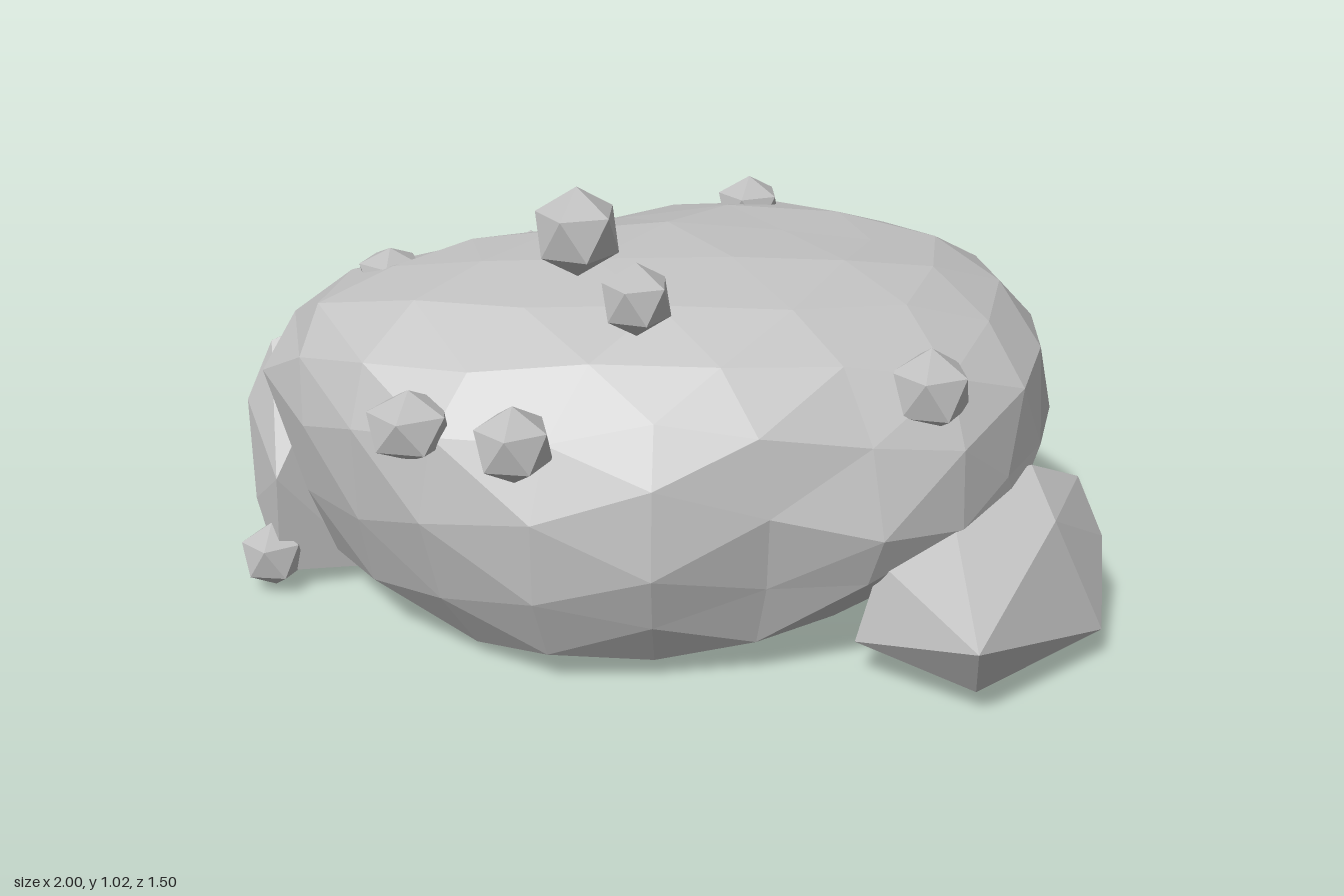
import * as THREE from 'three';
import { ConvexGeometry } from 'three/addons/geometries/ConvexGeometry.js';

// Widest outline of the main rock: x, z, height of the widest point, depth below it
const RIM = [
  [-0.11, -0.58, 0.45, 0.5], [0.02, -0.585, 0.47, 0.5], [0.37, -0.52, 0.47, 0.5],
  [0.73, -0.34, 0.46, 0.5], [0.88, -0.15, 0.44, 0.48], [0.88, 0.06, 0.43, 0.43],
  [0.8, 0.3, 0.42, 0.4], [0.6, 0.5, 0.38, 0.37], [0.44, 0.57, 0.34, 0.4],
  [0.23, 0.63, 0.31, 0.48], [-0.1, 0.67, 0.31, 0.5], [-0.4, 0.62, 0.34, 0.55],
  [-0.72, 0.41, 0.45, 0.7], [-0.9, 0.2, 0.58, 0.9], [-0.85, -0.02, 0.55, 0.85],
  [-0.65, -0.2, 0.48, 0.65], [-0.4, -0.39, 0.46, 0.55],
];
const GROUND = 0.04;

// Outline sample in the direction (dx, dz): [x, z, widest height, depth]
function rimAt(dx, dz) {
  for (let i = 0; i < RIM.length; i++) {
    const a = RIM[i], b = RIM[(i + 1) % RIM.length];
    const ca = dx * a[1] - dz * a[0], cb = dx * b[1] - dz * b[0];
    if (ca * cb <= 0 && dx * a[0] + dz * a[1] > 0 && ca !== cb) {
      const t = ca / (ca - cb);
      return a.map((v, k) => v + (b[k] - v) * t);
    }
  }
  return RIM[0];
}

// Repeatable unevenness taken from a direction
function noise(d, seed) {
  const s = Math.sin(Math.round(d.x * 100) * 12.99 + Math.round(d.y * 100) * 78.23 + Math.round(d.z * 100) * 37.72 + seed) * 4375.85;
  return (s - Math.floor(s)) * 2 - 1;
}

function mainRockGeometry() {
  const geo = new THREE.IcosahedronGeometry(1, 3);
  const pos = geo.attributes.position, d = new THREE.Vector3();
  const { smoothstep } = THREE.MathUtils;
  for (let i = 0; i < pos.count; i++) {
    d.fromBufferAttribute(pos, i).normalize();
    const [rx, rz, rimY, depth] = rimAt(d.x * 0.89 || 1e-6, d.z * 0.63 || 1e-6);
    const h = Math.min(1, Math.hypot(d.x, d.z));
    let x = rx * h, z = rz * h, y;
    if (d.y >= 0) {
      // Squarer shoulders towards both ends
      const power = 2.1 + 0.7 * smoothstep(x - z * 0.6, 0, 0.7) + 0.6 * smoothstep(-x, 0.2, 0.8);
      const top = 0.86 + 0.02 * Math.min(1, x * 2 + 0.5);
      y = rimY + (top - rimY) * Math.pow(1 - Math.pow(h, power), 1 / power);
    } else {
      y = Math.max(GROUND, rimY + depth * d.y);
    }
    // Diagonal hollow between the two front lobes
    const across = x - (0.1 + 0.5 * y);
    if (z > 0.15) z -= 0.06 * Math.exp(-across * across / 0.01) * (1 - Math.max(0, y - 0.6) * 3);
    const k = 1 + 0.012 * noise(d, 1);
    if (y > GROUND) y = Math.max(GROUND, y + 0.01 * noise(d, 5));
    pos.setXYZ(i, x * k, y, z * k);
  }
  geo.computeVertexNormals();
  return geo;
}

// Corner points of the two side boulders
const LEFT_BOULDER = [
  [0.67, 0.2, 0.745], [0.68, 0.06, 0.65], [0.975, 0.08, 0.4], [0.995, 0.21, 0.2],
  [0.94, 0.33, 0.14], [0.82, 0.4, 0.24], [0.63, 0.38, 0.35], [0.48, 0.27, 0.48],
  [0.43, 0.1, 0.52], [0.6, 0.04, 0.25], [0.86, 0.04, 0.28], [0.85, 0.09, 0.06],
  [0.84, 0.32, 0.08], [0.8, 0.2, 0.03], [0.6, 0.3, 0.1], [0.6, 0.1, 0.06],
  [0.95, 0.1, 0.12], [0.64, 0.04, 0.5], [0.47, 0.08, 0.4], [0.86, 0.33, 0.38],
];
const RIGHT_BOULDER = [
  [-0.45, 0.3, -0.37], [-0.5, 0.08, -0.37], [-0.74, 0.3, -0.44], [-0.84, 0.14, -0.4],
  [-0.82, 0.42, -0.4], [-0.98, 0.3, -0.24], [-0.95, 0.05, -0.22], [-1, 0.41, -0.02],
  [-0.94, 0.55, -0.05], [-0.97, 0.2, 0.08], [-0.9, 0.06, 0.18], [-0.89, 0.3, 0.19],
  [-0.75, 0.61, -0.15], [-0.6, 0.5, -0.32], [-0.6, 0.04, -0.3], [-0.7, 0.04, 0.1],
  [-0.88, 0.53, -0.24], [-0.62, 0.44, -0.38],
];

// Small stones: x, y, z, radius, height factor
const PEBBLES = [
  [-0.18, 0.93, 0.26, 0.1, 1], [-0.04, 0.85, 0.46, 0.08, 1], [0.18, 0.84, -0.25, 0.08, 0.9],
  [0.575, 0.63, 0.38, 0.095, 1], [-0.515, 0.575, 0.5, 0.1, 0.8], [-0.285, 0.58, 0.6, 0.09, 0.95],
  [-0.92, 0.09, 0.15, 0.08, 1], [-0.36, 0.64, -0.39, 0.085, 1], [-0.63, 0.755, 0.03, 0.08, 0.7],
  [-0.11, 0.09, -0.675, 0.085, 1], [0.64, 0.088, -0.48, 0.08, 1],
];

export function createModel() {
  const group = new THREE.Group();
  const stone = new THREE.MeshStandardMaterial({ color: 0xbebebe, flatShading: true });
  stone.name = 'grey stone';
  const add = (name, geo) => {
    const mesh = new THREE.Mesh(geo, stone);
    mesh.name = name;
    group.add(mesh);
    return mesh;
  };

  add('mainRock', mainRockGeometry());
  const hull = (pts) => new ConvexGeometry(pts.map((p) => new THREE.Vector3(...p)));
  add('leftBoulder', hull(LEFT_BOULDER));
  add('rightBoulder', hull(RIGHT_BOULDER));

  // Stones scattered on and around the rock, each with one corner pointing up
  PEBBLES.forEach(([x, y, z, r, flat], i) => {
    const geo = new THREE.IcosahedronGeometry(r, 0);
    geo.rotateZ(0.5536);
    geo.rotateY(i * 1.3);
    geo.scale(1, flat, 1);
    add('pebble' + (i + 1), geo).position.set(x, y, z);
  });
  return group;
}
